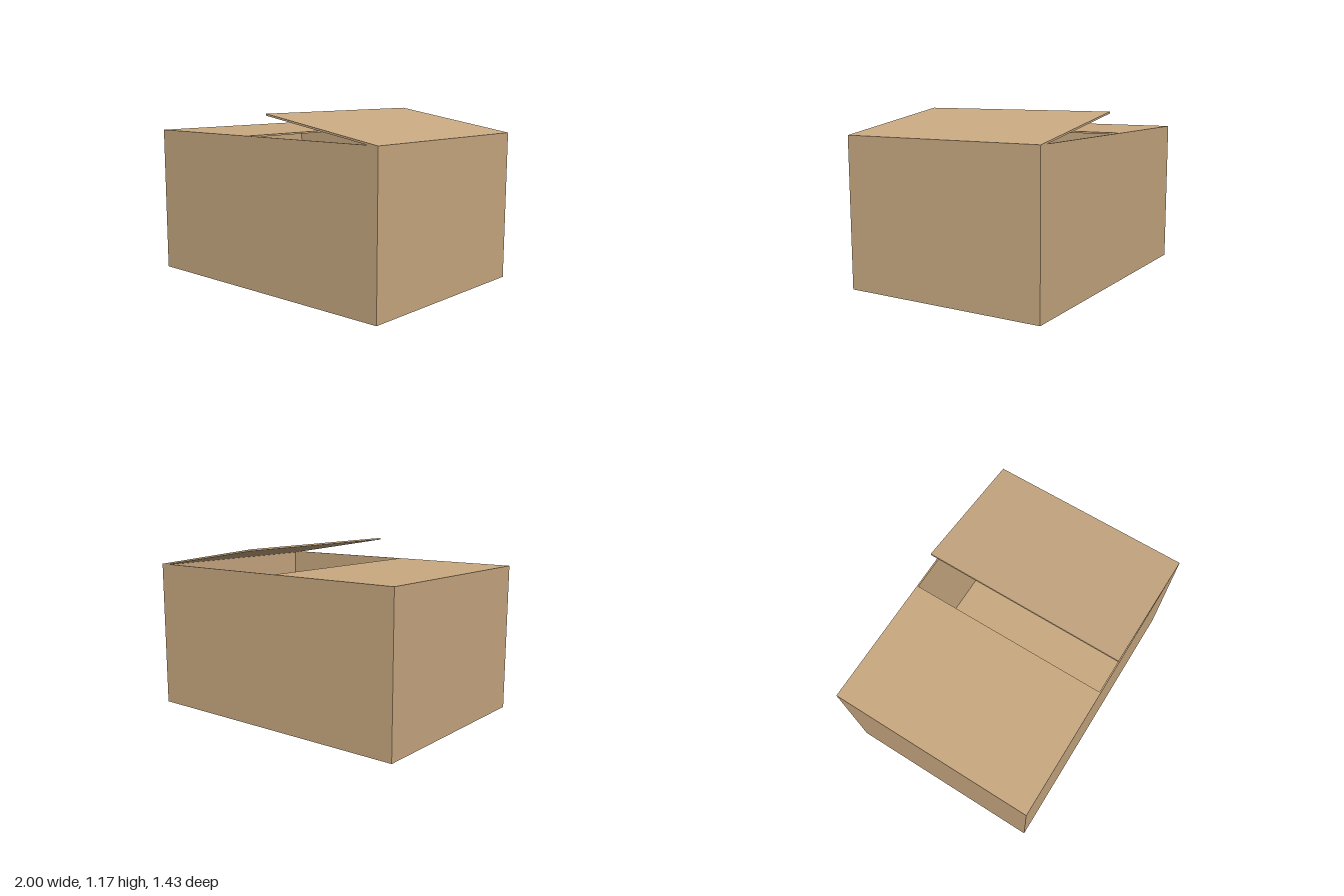
import * as THREE from 'three';

const HALF_X = 1, HALF_Z = 0.713, HEIGHT = 1.023, WALL = 0.01, FLAP = 0.91;

export function createModel() {
  const model = new THREE.Group();
  model.name = 'cardboardBox';
  const cardboard = new THREE.MeshStandardMaterial({ color: 0xc9a981 });
  cardboard.name = 'cardboard';

  const addBox = (name, w, h, d, x, y, z, parent = model) => {
    const mesh = new THREE.Mesh(new THREE.BoxGeometry(w, h, d), cardboard);
    mesh.name = name;
    mesh.position.set(x, y, z);
    parent.add(mesh);
    return mesh;
  };

  // Four walls as one hollow ring, extruded upwards
  const rect = (path, x, z) =>
    path.moveTo(-x, -z).lineTo(x, -z).lineTo(x, z).lineTo(-x, z).closePath();
  const outline = rect(new THREE.Shape(), HALF_X, HALF_Z);
  outline.holes.push(rect(new THREE.Path(), HALF_X - WALL, HALF_Z - WALL));
  const wallGeometry = new THREE.ExtrudeGeometry(outline, { depth: HEIGHT, bevelEnabled: false });
  wallGeometry.rotateX(-Math.PI / 2);
  const walls = new THREE.Mesh(wallGeometry, cardboard);
  walls.name = 'walls';
  model.add(walls);

  // Floor inside the walls
  addBox('floor', 2 * (HALF_X - WALL), WALL, 2 * (HALF_Z - WALL), 0, WALL / 2, 0);

  // Top flaps, hinged on the upper side edges: one closed, one slightly raised
  for (const [name, side, angle] of [['closedFlap', -1, 0], ['raisedFlap', 1, 0.164]]) {
    const hinge = new THREE.Group();
    hinge.name = name + 'Hinge';
    hinge.position.set(side * HALF_X, HEIGHT, 0);
    hinge.rotation.z = -side * angle;
    addBox(name, FLAP, 0.012, 2 * HALF_Z, -side * FLAP / 2, -0.006, 0, hinge);
    model.add(hinge);
  }
  return model;
}
